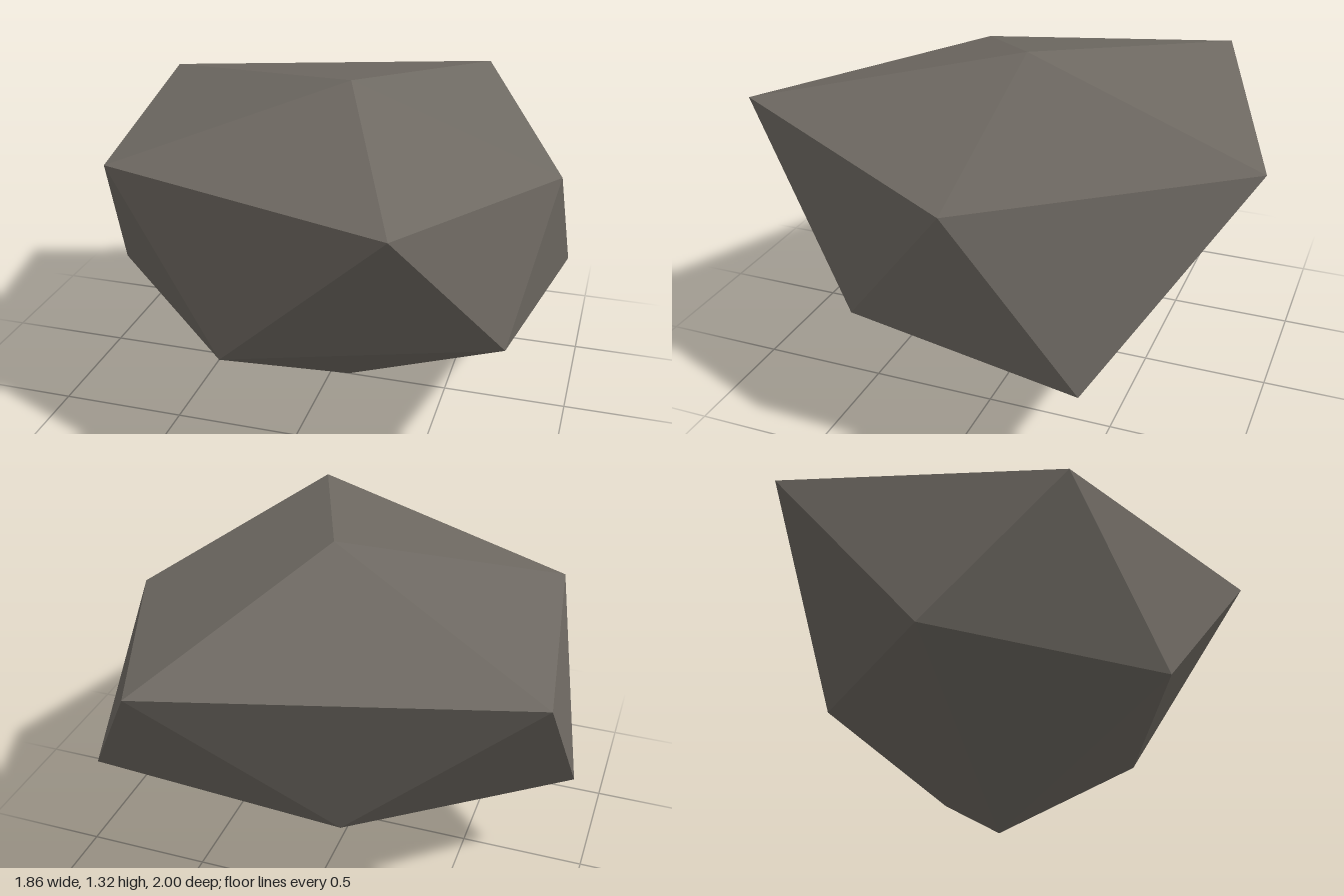
import * as THREE from 'three';

// Low-poly boulder: two uneven five-sided rings capped by a top and a bottom point
export function createModel() {
  const group = new THREE.Group();
  group.name = 'boulder';

  const stone = new THREE.MeshStandardMaterial({ color: 0x6e6962, flatShading: true });
  stone.name = 'stone grey';

  const top = [0.08, 1.32, 0];
  const bottom = [0.08, 0, 0];
  const upper = [
    [0.91, 1.01, 0], [0.47, 1.14, 1], [-0.74, 1.07, 0.5], [-0.89, 1.13, -0.59], [0.47, 1.14, -1],
  ];
  // Each lower corner sits between two upper corners
  const lower = [
    [0.79, 0.48, 0.43], [-0.21, 0.46, 0.75], [-0.93, 0.43, 0], [-0.17, 0.49, -0.65], [0.93, 0.43, -0.51],
  ];

  const positions = [];
  const face = (...corners) => corners.forEach((c) => positions.push(...c));
  for (let i = 0; i < 5; i++) {
    const n = (i + 1) % 5;
    face(top, upper[n], upper[i]);
    face(upper[i], upper[n], lower[i]);
    face(lower[n], lower[i], upper[n]);
    face(bottom, lower[i], lower[n]);
  }

  const geometry = new THREE.BufferGeometry();
  geometry.setAttribute('position', new THREE.Float32BufferAttribute(positions, 3));
  geometry.computeVertexNormals();

  const rock = new THREE.Mesh(geometry, stone);
  rock.name = 'rock';
  group.add(rock);
  return group;
}
